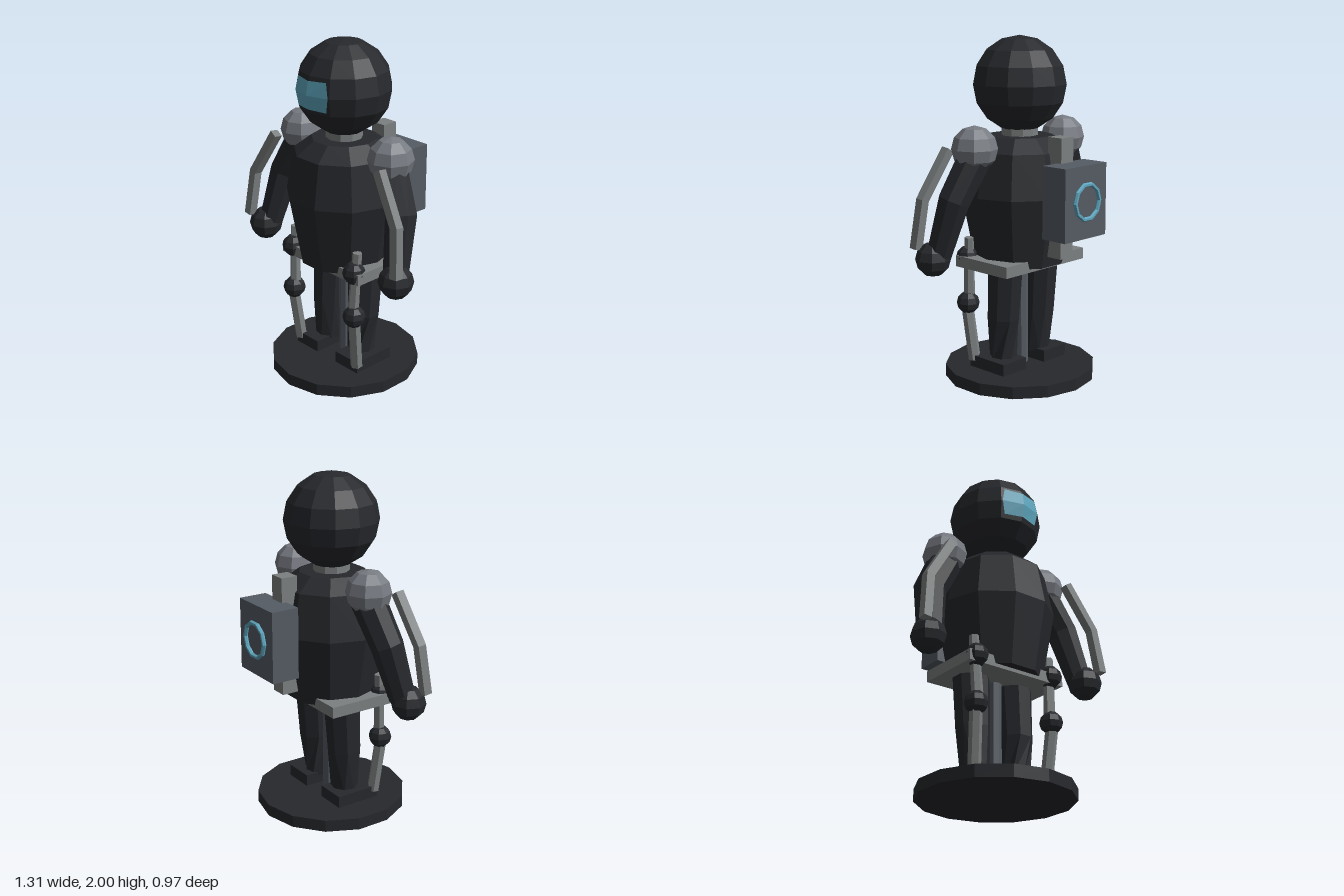
import * as THREE from 'three';

const mat = (color) => new THREE.MeshStandardMaterial({ color, flatShading: true, side: THREE.DoubleSide });
const DARK = mat(0x26282c), GREY = mat(0x7c8080), JOINT = mat(0x777b82), STEEL = mat(0x565c64), TEAL = mat(0x5fa8c0);
const CZ = 0.04; // z of the body axis

// Faceted limb: polygon rings along a path of [x, y, z, radius, twist]
function limb(path, sides, s) {
  const pts = path.map((p) => new THREE.Vector3(p[0] * s, p[1], p[2]));
  const rings = pts.map((p, i) => {
    const d = pts[Math.min(i + 1, pts.length - 1)].clone().sub(pts[Math.max(i - 1, 0)]).normalize();
    const u = new THREE.Vector3(1, 0, 0).addScaledVector(d, -d.x).normalize();
    const v = d.clone().cross(u);
    return Array.from({ length: sides }, (_, k) => {
      const a = ((k + 0.5) / sides) * Math.PI * 2 + (path[i][4] || 0) * s;
      return p.clone().addScaledVector(u, Math.cos(a) * path[i][3]).addScaledVector(v, Math.sin(a) * path[i][3]);
    });
  });
  const tris = [];
  const last = rings.length - 1;
  for (let k = 0; k < sides; k++) {
    const n = (k + 1) % sides;
    for (let i = 0; i < last; i++) {
      const a = rings[i], b = rings[i + 1];
      tris.push(a[k], a[n], b[n], a[k], b[n], b[k]);
    }
    tris.push(pts[0], rings[0][n], rings[0][k], pts[last], rings[last][k], rings[last][n]);
  }
  const geo = new THREE.BufferGeometry().setFromPoints(tris);
  geo.computeVertexNormals();
  return geo;
}

export function createModel() {
  const model = new THREE.Group();
  model.name = 'suitedFigure';

  const add = (name, geo, material, x = 0, y = 0, z = 0) => {
    const mesh = new THREE.Mesh(geo, material);
    mesh.name = name;
    mesh.position.set(x, y, z);
    model.add(mesh);
    return mesh;
  };
  const box = (name, material, w, h, d, x, y, z) => add(name, new THREE.BoxGeometry(w, h, d), material, x, y, z);
  const ball = (name, material, r, x, y, z) => add(name, new THREE.SphereGeometry(r, 8, 6), material, x, y, z);

  // Round base and support pole
  add('base', new THREE.CylinderGeometry(0.445, 0.445, 0.07, 14), DARK, 0, 0.035, CZ);
  add('supportPole', new THREE.CylinderGeometry(0.04, 0.04, 0.64, 8), STEEL, 0, 0.38, 0.03);

  // Ten-sided barrel torso
  const profile = [[0, 0.7], [0.265, 0.7], [0.34, 1.105], [0.291, 1.357], [0.19, 1.435], [0, 1.435]];
  const torso = new THREE.LatheGeometry(profile.map(([r, y]) => new THREE.Vector2(r, y)), 10);
  torso.rotateY(Math.PI / 10);
  add('torso', torso, DARK, 0, 0, CZ);

  box('hipPlate', GREY, 0.65, 0.065, 0.41, 0, 0.712, 0.035);

  // Neck and helmet
  add('neck', new THREE.CylinderGeometry(0.105, 0.105, 0.12, 10), GREY, 0, 1.46, CZ);
  add('helmet', new THREE.SphereGeometry(0.273, 12, 8), DARK, 0, 1.727, CZ);

  // Visor: a two-by-two patch bent around the front of the helmet
  const visor = new THREE.PlaneGeometry(2, 2, 2, 2);
  const p = visor.attributes.position;
  for (let i = 0; i < p.count; i++) {
    const x = Math.round(p.getX(i)), y = Math.round(p.getY(i));
    const side = Math.abs(x), edge = Math.abs(y);
    p.setXYZ(i, x * (0.13 - 0.018 * edge), y * (0.08 + 0.004 * side), 0.319 - 0.013 * edge - side * (0.037 - 0.007 * edge));
  }
  visor.computeVertexNormals();
  add('visor', visor, TEAL, 0, 1.728, 0);

  // Backpack, its spine and the glowing ring
  box('backpackSpine', GREY, 0.1, 0.685, 0.1, 0, 1.108, -0.275);
  box('backpack', STEEL, 0.342, 0.41, 0.167, 0, 1.105, -0.38);
  add('backpackRing', new THREE.TorusGeometry(0.1, 0.013, 6, 10), TEAL, 0, 1.11, -0.474);

  // Mirrored limbs with their outer braces
  for (const s of [1, -1]) {
    const side = s > 0 ? 'left' : 'right';
    ball(side + 'Shoulder', JOINT, 0.13, s * 0.363, 1.39, 0.035);
    add(side + 'Arm', limb([[0.345, 1.37, 0.03, 0.1], [0.485, 1.11, 0.075, 0.093], [0.53, 0.8, 0.155, 0.075]], 8, s), DARK);
    add(side + 'ArmBrace', limb([[0.425, 1.38, 0.185, 0.036], [0.59, 1.11, 0.217, 0.036], [0.62, 0.835, 0.245, 0.036]], 4, s), GREY);
    ball(side + 'Hand', DARK, 0.1, s * 0.555, 0.775, 0.178);

    add(side + 'Leg', limb([[0.15, 0.72, 0.01, 0.108], [0.15, 0.38, 0.03, 0.098], [0.14, 0.12, 0.04, 0.08, 0.6]], 8, s), DARK);
    box(side + 'Foot', DARK, 0.185, 0.07, 0.275, s * 0.172, 0.105, 0.053);

    add(side + 'UpperLegBrace', limb([[0.265, 0.85, 0.19, 0.028], [0.25, 0.455, 0.21, 0.034]], 6, s), GREY);
    add(side + 'LowerLegBrace', limb([[0.265, 0.455, 0.215, 0.036], [0.245, 0.11, 0.175, 0.036]], 6, s), GREY);
    ball(side + 'HipJoint', DARK, 0.067, s * 0.26, 0.73, 0.21);
    ball(side + 'KneeJoint', DARK, 0.067, s * 0.26, 0.455, 0.21);
  }
  return model;
}
